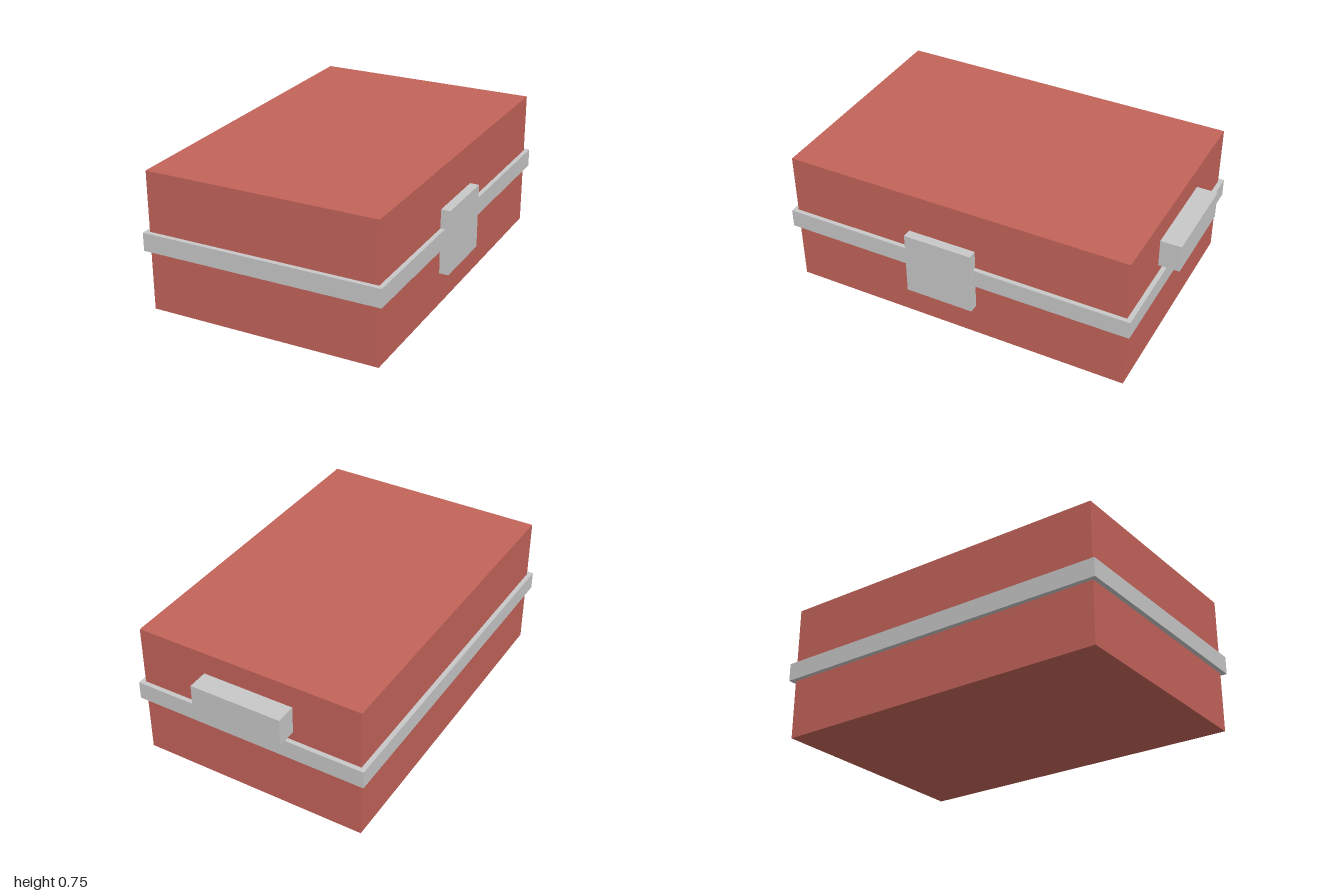
import * as THREE from 'three';

export function createModel() {
  const model = new THREE.Group();
  model.name = 'case';

  const red = new THREE.MeshStandardMaterial({ color: 0xc4645a });
  red.name = 'red shell';
  const grey = new THREE.MeshStandardMaterial({ color: 0xc8c8c8 });
  grey.name = 'light grey metal';

  // Adds a box spanning the given [min, max] ranges
  function addBox(name, material, x, y, z) {
    const size = [x, y, z].map(([a, b]) => b - a);
    const mid = [x, y, z].map(([a, b]) => (a + b) / 2);
    const mesh = new THREE.Mesh(new THREE.BoxGeometry(...size), material);
    mesh.name = name;
    mesh.position.set(...mid);
    model.add(mesh);
  }

  // Main shell
  addBox('body', red, [-0.636, 0.607], [0, 0.746], [-0.889, 0.975]);
  // Band running round the middle
  addBox('band', grey, [-0.661, 0.631], [0.326, 0.424], [-0.914, 1]);
  // Clasp plate on the left side
  addBox('latch', grey, [0.58, 0.656], [0.177, 0.525], [-0.077, 0.295]);
  // Block handle on the back
  addBox('handle', grey, [-0.265, 0.233], [0.474, 0.624], [-1, -0.88]);

  return model;
}
